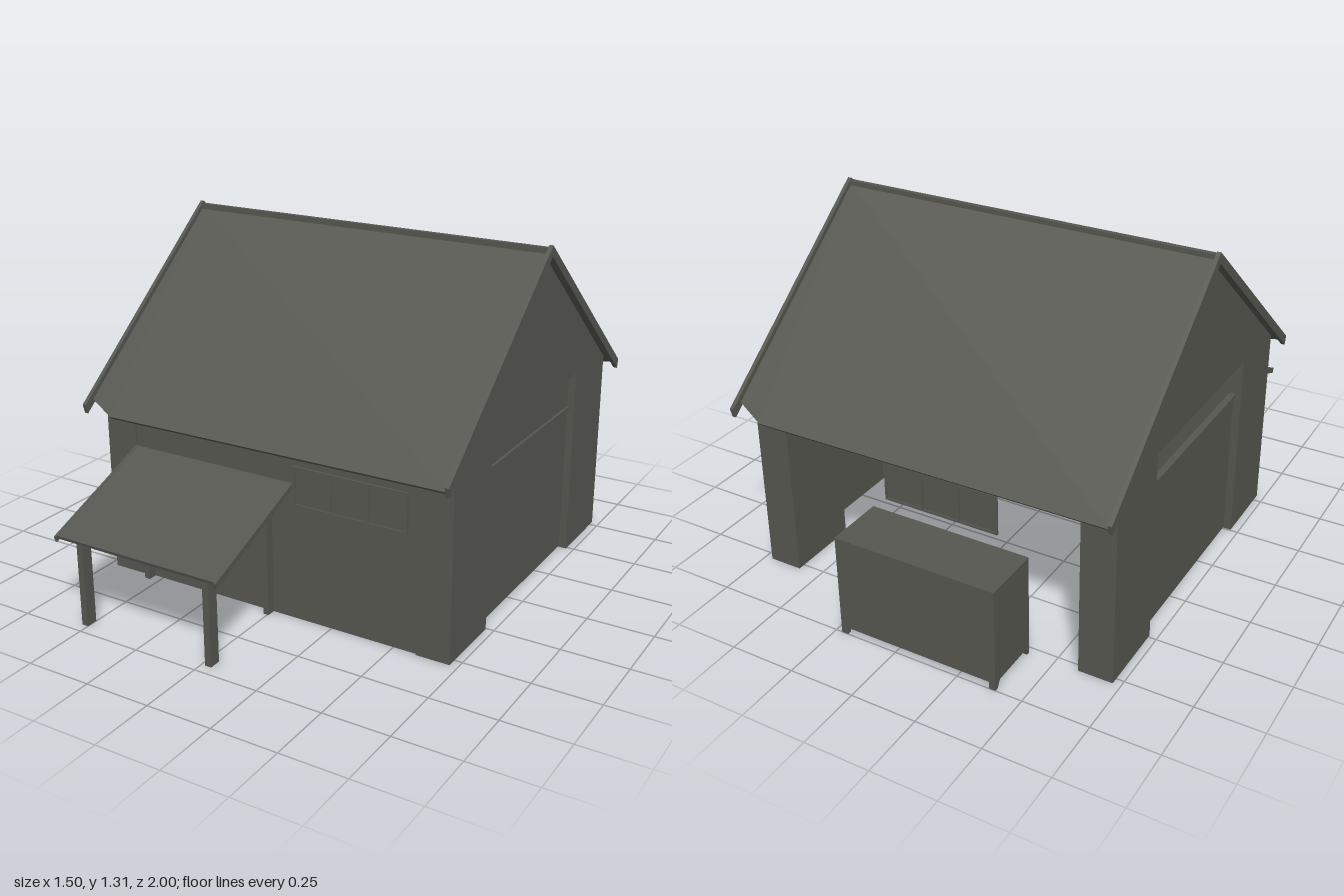
import * as THREE from 'three';

export function createModel() {
  const model = new THREE.Group();
  model.name = 'garage';
  const grey = new THREE.MeshStandardMaterial({ color: 0x575751, side: THREE.DoubleSide });
  grey.name = 'weathered grey';

  const add = (name, geometry, x = 0, y = 0, z = 0, parent = model) => {
    const mesh = new THREE.Mesh(geometry, grey);
    mesh.name = name;
    mesh.position.set(x, y, z);
    parent.add(mesh);
    return mesh;
  };
  // Box given by its limits on each axis
  const box = (name, x0, x1, y0, y1, z0, z1, parent) =>
    add(name, new THREE.BoxGeometry(x1 - x0, y1 - y0, z1 - z0),
      (x0 + x1) / 2, (y0 + y1) / 2, (z0 + z1) / 2, parent);
  // Hollow shell: drops the bottom face of a box
  const openBottom = mesh => {
    const index = Array.from(mesh.geometry.index.array);
    index.splice(18, 6);
    mesh.geometry.setIndex(index);
    return mesh;
  };
  // Outline of [z, y] points extruded along x from x0 to x1
  const profile = (name, points, x0, x1) => {
    const shape = new THREE.Shape(points.map(p => new THREE.Vector2(...p)));
    const geometry = new THREE.ExtrudeGeometry(shape, { depth: x1 - x0, bevelEnabled: false });
    return add(name, geometry.rotateY(-Math.PI / 2), x1);
  };

  const ridgeZ = -0.12;
  const underRoof = z => 1.27 - 0.827 * Math.abs(z - ridgeZ);

  // Corner pillar whose top follows the roof slope
  const pillar = (name, x0, x1, z0, z1) => {
    const mesh = openBottom(box(name, x0, x1, 0, 1, z0, z1));
    const p = mesh.geometry.attributes.position;
    for (let i = 0; i < p.count; i++) {
      if (p.getY(i) > 0) p.setY(i, underRoof(p.getZ(i) + mesh.position.z) - 0.5);
    }
    mesh.geometry.computeVertexNormals();
  };

  for (const s of [-1, 1]) {
    const span = (a, b) => (s > 0 ? [a, b] : [-b, -a]);

    pillar('frontPillar', ...span(0.59, 0.72), 0.255, 0.537);
    pillar('backPillar', ...span(0.59, 0.72), -0.777, -0.49);

    // Gable wall above the side opening, between the pillars
    profile('gable', [
      [0.255, 0.737], [0.255, underRoof(0.255)], [ridgeZ, 1.27],
      [-0.49, underRoof(-0.49)], [-0.49, 0.737],
    ], ...span(0.69, 0.72));

    // Slightly recessed side door with a top rail
    box('sideDoor', ...span(0.68, 0.69), 0.005, 0.59, -0.49, 0.255);
    box('doorRail', ...span(0.675, 0.7), 0.585, 0.6, -0.49, 0.255);

    // Barge boards along the gable edge
    profile('bargeBoard', [
      [0.637, 0.69], [ridgeZ, 1.312], [-0.877, 0.69],
      [-0.868, 0.655], [ridgeZ, 1.272], [0.628, 0.655],
    ], ...span(0.733, 0.748));
  }

  // Panel over the door on the left side; the other side stays open
  box('doorTransom', 0.68, 0.69, 0.6, 0.737, -0.49, 0.255);

  // Front wall
  box('frontWall', -0.59, 0.59, 0, 0.73, 0.515, 0.53);

  // Three-pane windows; the back one is turned to face away
  const makeWindow = (name, x, z, turn) => {
    const group = new THREE.Group();
    group.name = name;
    group.position.set(x, 0.517, z);
    group.rotation.y = turn;
    model.add(group);
    add('panes', new THREE.PlaneGeometry(0.45, 0.15), 0, 0, 0, group);
    for (let i = 0; i < 4; i++) {
      const cx = -0.221 + i * 0.1473;
      box('mullion', cx - 0.004, cx + 0.004, -0.075, 0.075, -0.003, 0.005, group);
    }
    for (const y of [-0.071, 0.071]) {
      box('windowRail', -0.225, 0.225, y - 0.004, y + 0.004, -0.003, 0.005, group);
    }
  };
  makeWindow('frontWindow', 0.325, 0.533, 0);
  makeWindow('backWindow', -0.055, -0.772, Math.PI);

  // Roof sheets: one worn corner each, the back one turned half around
  const run = 0.757, drop = 0.626;
  const length = Math.hypot(run, drop);
  const sheet = new THREE.Shape([
    [-0.735, 0], [0.735, 0], [0.735, length - 0.01], [-0.62, length], [-0.735, length - 0.055],
  ].map(p => new THREE.Vector2(...p)));
  for (const [name, turn] of [['frontRoof', 0], ['backRoof', Math.PI]]) {
    const geometry = new THREE.ExtrudeGeometry(sheet, { depth: 0.012, bevelEnabled: false });
    geometry.rotateX(Math.atan2(run, -drop));
    add(name, geometry, 0, 1.292, ridgeZ).rotation.y = turn;
  }
  box('ridgeCap', -0.735, 0.735, 1.278, 1.303, ridgeZ - 0.008, ridgeZ + 0.012);

  // Sloping awning with end boards and posts
  profile('awning', [[0.537, 0.528], [0.993, 0.348], [0.989, 0.336], [0.537, 0.514]], -0.59, 0.1);
  for (const x of [-0.59, 0.092]) {
    profile('awningEnd', [[0.537, 0.53], [1, 0.346], [0.993, 0.325], [0.537, 0.508]], x, x + 0.008);
  }
  for (const x of [-0.525, 0.015]) {
    profile('awningPost', [[0.915, 0], [0.96, 0], [0.96, 0.352], [0.915, 0.37]], x, x + 0.025);
  }
  for (const x of [-0.56, -0.017]) {
    box('wallPost', x, x + 0.022, 0, 0.51, 0.53, 0.565);
  }

  // Storage bin behind, hollow below, on four tapered feet
  openBottom(box('bin', -0.4, 0.225, 0.028, 0.396, -1, -0.777));
  for (const x of [-0.4, 0.2]) {
    profile('binFoot', [[-1, 0.03], [-1, 0], [-0.985, 0], [-0.968, 0.03]], x, x + 0.025);
    profile('binFoot', [[-0.777, 0.03], [-0.8, 0.03], [-0.79, 0], [-0.777, 0]], x, x + 0.025);
  }

  return model;
}
